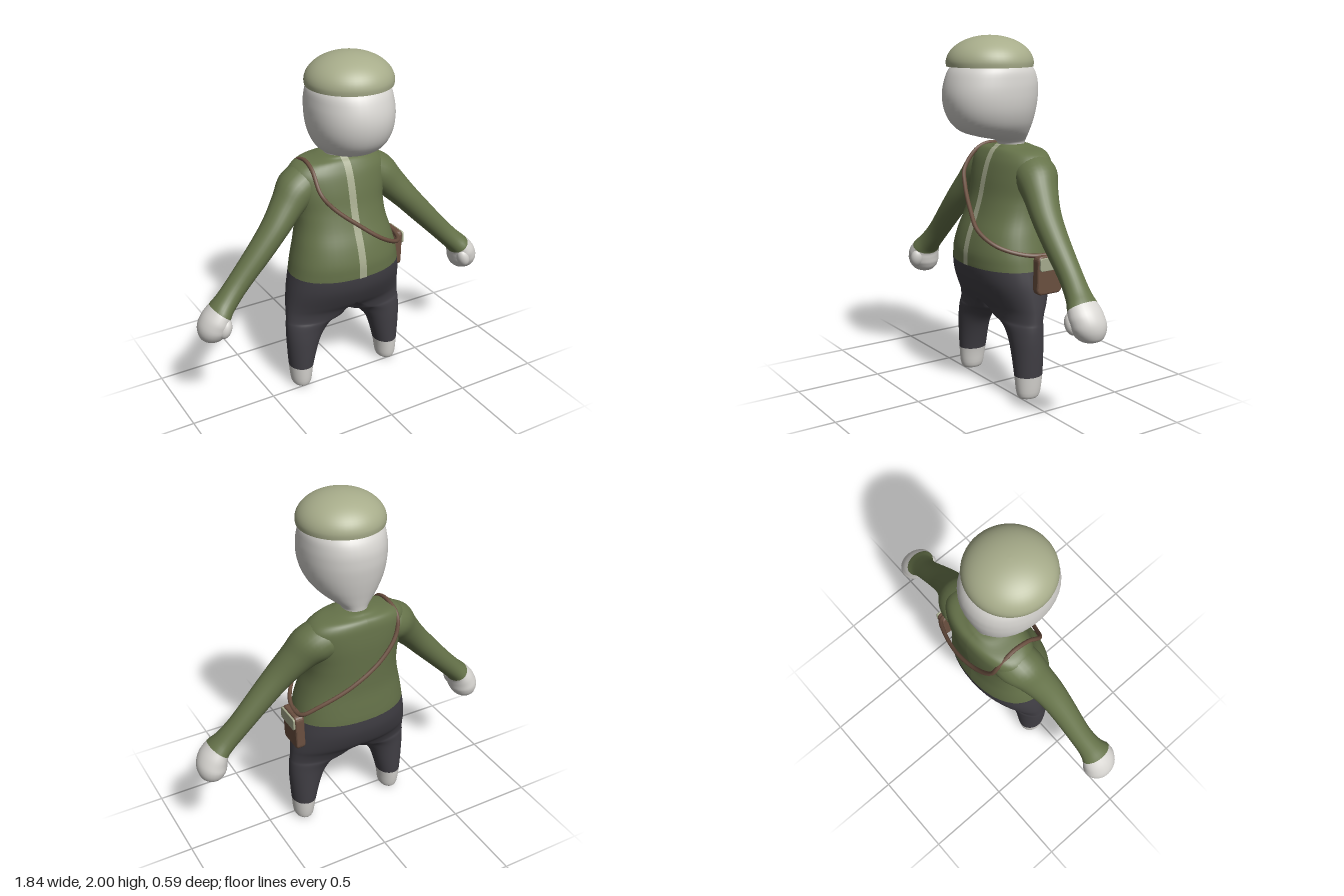
import * as THREE from 'three';

const paint = (name, color) => Object.assign(new THREE.MeshStandardMaterial({ color }), { name });

// Interpolates a table of section numbers; each value stays between its two keys.
function smooth(keys, n = 4) {
  const out = [];
  for (let i = 0; i < keys.length - 1; i++) {
    const [p, a, b, q] = [keys[Math.max(i - 1, 0)], keys[i], keys[i + 1], keys[Math.min(i + 2, keys.length - 1)]];
    for (let s = 0; s < n; s++) {
      const t = s / n;
      out.push(a.map((v, k) => {
        const w = b[k];
        const c = 0.5 * (2 * v + (w - p[k]) * t + (2 * p[k] - 5 * v + 4 * w - q[k]) * t * t
          + (3 * v - p[k] - 3 * w + q[k]) * t * t * t);
        return Math.min(Math.max(c, Math.min(v, w)), Math.max(v, w));
      }));
    }
  }
  out.push(keys[keys.length - 1]);
  return out;
}

// Skins closed rings of [x, y, z]; bands gives a material index per row.
function loft(rings, bands, side, flip) {
  const n = rings[0].length, pos = [], idx = [];
  const geo = new THREE.BufferGeometry();
  rings.forEach(r => r.forEach(([x, y, z]) => pos.push(x * side, y, z)));
  let start = 0;
  for (let i = 0; i < rings.length - 1; i++) {
    const tri = (a, b, c) => {
      // walls lying on the mirror plane are left out
      if ([a, b, c].every(v => Math.abs(pos[v * 3]) < 1e-5)) return;
      flip ? idx.push(a, c, b) : idx.push(a, b, c);
    };
    for (let j = 0; j < n; j++) {
      const k = (j + 1) % n, a = i * n + j, b = i * n + k;
      tri(a, a + n, b);
      tri(b, a + n, b + n);
    }
    if (i === rings.length - 2 || bands[i + 1] !== bands[i]) {
      geo.addGroup(start, idx.length - start, bands[i]);
      start = idx.length;
    }
  }
  geo.setAttribute('position', new THREE.Float32BufferAttribute(pos, 3));
  geo.setIndex(idx);
  geo.computeVertexNormals();
  return geo;
}

// Level section: [y, middle x, inner x, outer x, back z, front z]
function levelRing([y, cx, xi, xo, zb, zf], power, n = 40) {
  return Array.from({ length: n }, (_, j) => {
    const a = j / n * Math.PI * 2, c = Math.cos(a), s = Math.sin(a);
    const e = v => Math.abs(v) < 1e-6 ? 0 : Math.sign(v) * Math.abs(v) ** (2 / power);
    return [cx + e(c) * (c > 0 ? xo - cx : cx - xi), y, (zb + zf) / 2 + e(s) * (zf - zb) / 2];
  });
}

export function createModel() {
  const model = new THREE.Group();
  const skin = paint('pale skin', 0xd6d4d0), jacket = paint('olive jacket', 0x66734a);
  const trousers = paint('charcoal trousers', 0x413f45), hatGreen = paint('sage hat', 0xa8ad8b);
  const trim = paint('pale trim', 0xa5aa8d), leather = paint('brown leather', 0x6b5040);
  const add = (name, geo, mat, parent = model) => {
    const m = new THREE.Mesh(geo, mat);
    m.name = name;
    parent.add(m);
    return m;
  };

  // Body: each half runs from foot to collar
  const bodyKeys = [
    [0.0, 0.295, 0.294, 0.296, -0.045, -0.044], [0.005, 0.295, 0.265, 0.325, -0.085, 0.0],
    [0.03, 0.295, 0.238, 0.35, -0.108, 0.028], [0.14, 0.29, 0.22, 0.362, -0.125, 0.04],
    [0.3, 0.275, 0.172, 0.373, -0.132, 0.048], [0.38, 0.25, 0.118, 0.375, -0.138, 0.05],
    [0.425, 0.2, 0.066, 0.374, -0.15, 0.055], [0.45, 0.13, 0, 0.372, -0.16, 0.06],
    [0.5, 0.06, 0, 0.369, -0.19, 0.08], [0.55, 0, 0, 0.365, -0.23, 0.115],
    [0.65, 0, 0, 0.352, -0.266, 0.162], [0.74, 0, 0, 0.335, -0.275, 0.18],
    [0.82, 0, 0, 0.32, -0.272, 0.178], [0.92, 0, 0, 0.295, -0.266, 0.152],
    [1.02, 0, 0, 0.272, -0.27, 0.112], [1.12, 0, 0, 0.268, -0.277, 0.08],
    [1.22, 0, 0, 0.288, -0.282, 0.058], [1.3, 0, 0, 0.296, -0.28, 0.035],
    [1.345, 0, 0, 0.275, -0.275, 0.015], [1.375, 0, 0, 0.225, -0.262, -0.005],
    [1.39, 0, 0, 0.14, -0.235, -0.025], [1.402, 0, 0, 0.078, -0.205, -0.045],
    [1.403, 0, 0, 0, -0.125, -0.124]];
  const bodyRows = smooth(bodyKeys);
  const bodyBands = bodyRows.map(r => r[0] < 0.1399 ? 0 : r[0] < 0.7399 ? 1 : 2);
  const bodyRings = bodyRows.map(r => levelRing(r, 2 + 0.25 * THREE.MathUtils.smoothstep(r[0], 0.4, 0.9)));

  // Arms: [x, y, z, radius across, radius in z], shoulder to fingertips
  const armKeys = [
    [0.13, 1.27, -0.13, 0.08, 0.09], [0.2, 1.26, -0.128, 0.112, 0.125],
    [0.265, 1.225, -0.115, 0.112, 0.122], [0.33, 1.16, -0.09, 0.092, 0.102],
    [0.42, 1.06, -0.06, 0.077, 0.086], [0.52, 0.95, -0.045, 0.07, 0.075],
    [0.66, 0.8, -0.035, 0.062, 0.066], [0.745, 0.712, -0.022, 0.061, 0.072],
    [0.793, 0.664, -0.012, 0.065, 0.09], [0.82, 0.622, -0.012, 0.078, 0.1],
    [0.838, 0.575, -0.018, 0.084, 0.1], [0.845, 0.53, -0.024, 0.072, 0.082],
    [0.847, 0.502, -0.028, 0.048, 0.052], [0.848, 0.488, -0.03, 0.001, 0.001]];
  const armRows = smooth(armKeys);
  const armBands = armRows.map((_, i) => i < 32 ? 0 : 1);
  const armRings = armRows.map(([x, y, z, r, rz], i) => {
    const p = armRows[Math.max(i - 1, 0)], q = armRows[Math.min(i + 1, armRows.length - 1)];
    const t = new THREE.Vector2(q[0] - p[0], q[1] - p[1]).normalize();
    return Array.from({ length: 28 }, (_, j) => {
      const a = j / 28 * Math.PI * 2, c = r * Math.cos(a);
      return [x - t.y * c, y + t.x * c, z + rz * Math.sin(a)];
    });
  });

  for (const side of [1, -1]) {
    const label = side > 0 ? 'left' : 'right';
    add(label + 'Body', loft(bodyRings, bodyBands, side, side < 0), [skin, trousers, jacket]);
    add(label + 'Arm', loft(armRings, armBands, side, side > 0), [jacket, skin]);
    const thumb = add(label + 'Thumb', new THREE.SphereGeometry(1, 20, 14), skin);
    thumb.scale.set(0.038, 0.06, 0.042);
    thumb.position.set(side * 0.797, 0.592, 0.054);
    thumb.rotation.z = side * 0.3;
  }

  // Head and neck
  const headRows = smooth([
    [1.36, 0, -0.07, 0.07, -0.19, -0.05], [1.405, 0, -0.07, 0.07, -0.198, -0.045],
    [1.428, 0, -0.088, 0.088, -0.202, -0.01], [1.45, 0, -0.122, 0.122, -0.207, 0.09],
    [1.48, 0, -0.158, 0.158, -0.214, 0.185], [1.53, 0, -0.194, 0.194, -0.226, 0.244],
    [1.6, 0, -0.22, 0.22, -0.24, 0.278], [1.68, 0, -0.23, 0.23, -0.25, 0.289],
    [1.76, 0, -0.226, 0.226, -0.246, 0.274], [1.83, 0, -0.208, 0.208, -0.215, 0.238],
    [1.89, 0, -0.14, 0.14, -0.14, 0.16], [1.91, 0, -0.001, 0.001, 0.01, 0.011]]);
  add('head', loft(headRows.map(r => levelRing(r, 2.15)), headRows.map(() => 0), 1, false), [skin]);

  // Hat: dome with a flat underside
  const hat = new THREE.Group();
  hat.name = 'hat';
  hat.position.set(0, 1.832, 0.022);
  model.add(hat);
  const dome = [new THREE.Vector2(0.237, 0)];
  for (let i = 0; i <= 16; i++) {
    const a = i / 16 * Math.PI / 2;
    dome.push(new THREE.Vector2(0.24 * Math.cos(a), 0.018 + 0.15 * Math.sin(a)));
  }
  add('hatDome', new THREE.LatheGeometry(dome, 48), hatGreen, hat);
  add('hatUnderside', new THREE.CircleGeometry(0.237, 48).rotateX(Math.PI / 2), hatGreen, hat);

  // Jacket zip follows the front of the body
  const zipRows = bodyRows.filter(r => r[0] > 0.7399 && r[0] < 1.4025);
  const zip = new THREE.BufferGeometry(), zipIdx = [];
  zip.setAttribute('position', new THREE.Float32BufferAttribute(
    zipRows.flatMap(r => [-0.024, r[0], r[5] + 0.004, 0.02, r[0], r[5] + 0.004]), 3));
  for (let i = 0; i < zipRows.length - 1; i++) zipIdx.push(2 * i, 2 * i + 1, 2 * i + 2, 2 * i + 1, 2 * i + 3, 2 * i + 2);
  zip.setIndex(zipIdx);
  zip.computeVertexNormals();
  add('zip', zip, trim);

  // Shoulder strap loops over the right shoulder to the bag on the left hip
  const strapPath = new THREE.CatmullRomCurve3([
    [-0.2, 1.385, -0.13], [-0.203, 1.36, -0.03], [-0.2, 1.25, 0.062], [-0.14, 1.165, 0.098],
    [0, 1.045, 0.15], [0.12, 0.955, 0.178], [0.24, 0.885, 0.135], [0.335, 0.84, 0.01],
    [0.368, 0.835, -0.11], [0.36, 0.85, -0.19], [0.28, 0.9, -0.235], [0.1, 1.0, -0.283],
    [-0.08, 1.12, -0.285], [-0.18, 1.24, -0.265], [-0.203, 1.34, -0.23]
  ].map(p => new THREE.Vector3(...p)), true);
  add('strap', new THREE.TubeGeometry(strapPath, 120, 0.012, 8, true), leather);

  // Bag with rounded edges, and its flap
  const slab = (h, w, d, r, bevel) => {
    const s = new THREE.Shape(), a = w / 2 - bevel, b = h / 2 - bevel;
    s.moveTo(-a + r, -b).lineTo(a - r, -b).quadraticCurveTo(a, -b, a, -b + r)
      .lineTo(a, b - r).quadraticCurveTo(a, b, a - r, b).lineTo(-a + r, b)
      .quadraticCurveTo(-a, b, -a, b - r).lineTo(-a, -b + r).quadraticCurveTo(-a, -b, -a + r, -b);
    return new THREE.ExtrudeGeometry(s, {
      depth: d - 2 * bevel, bevelSize: bevel, bevelThickness: bevel, bevelSegments: 3, curveSegments: 5
    }).translate(0, 0, bevel - d / 2).rotateY(Math.PI / 2);
  };
  const bag = new THREE.Group();
  bag.name = 'bag';
  bag.position.set(0.37, 0.728, -0.11);
  model.add(bag);
  add('bagBody', slab(0.22, 0.165, 0.055, 0.02, 0.012), leather, bag).rotation.z = -0.03;
  add('bagFlap', slab(0.072, 0.155, 0.012, 0.012, 0.003), trim, bag).position.set(0.036, 0.064, 0);
  return model;
}
